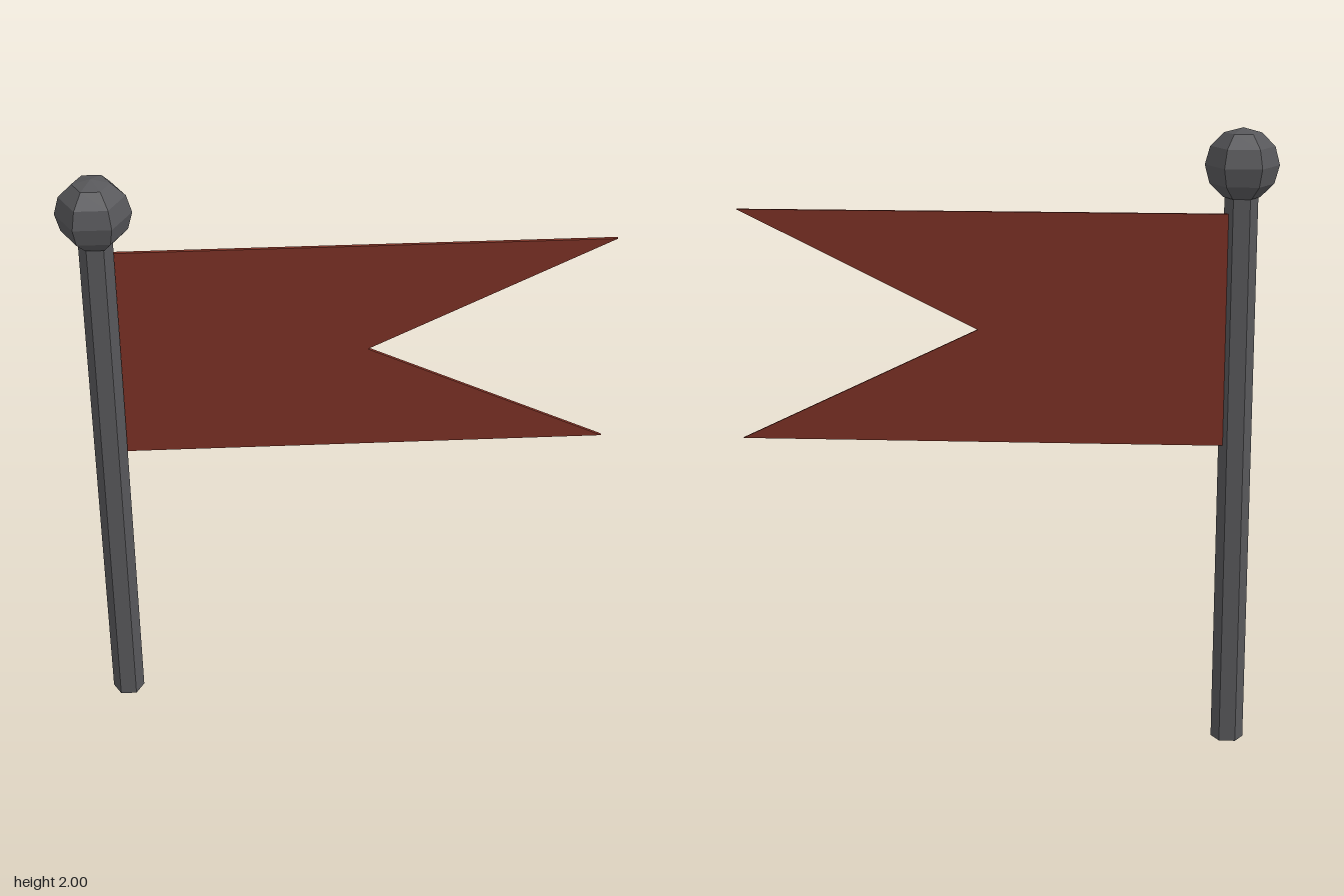
import * as THREE from 'three';

export function createModel() {
  const group = new THREE.Group();
  const metal = new THREE.MeshStandardMaterial({ name: 'darkGrey', color: 0x57575a, flatShading: true });
  const cloth = new THREE.MeshStandardMaterial({ name: 'deepRed', color: 0x7a3024, flatShading: true });
  const poleX = -0.73;

  const add = (name, geometry, material, x, y, z) => {
    const mesh = new THREE.Mesh(geometry, material);
    mesh.name = name;
    mesh.position.set(x, y, z);
    group.add(mesh);
  };

  // Six-sided pole with corners on the x axis
  const pole = new THREE.CylinderGeometry(0.052, 0.052, 1.8, 6);
  pole.rotateY(Math.PI / 6);
  add('pole', pole, metal, poleX, 0.9, 0);

  // Faceted ball on top of the pole
  add('finial', new THREE.SphereGeometry(0.115, 6, 6), metal, poleX, 1.885, 0);

  // Thin swallow-tailed flag, set slightly behind the pole's axis
  const outline = new THREE.Shape([
    [poleX, 0.995], [0.84, 0.995], [0.085, 1.36], [0.84, 1.735], [poleX, 1.735],
  ].map(([x, y]) => new THREE.Vector2(x, y)));
  const flag = new THREE.ExtrudeGeometry(outline, { depth: 0.01, bevelEnabled: false });
  add('flag', flag, cloth, 0, 0, -0.023);

  // Turn the pole so its corners point along x
  group.getObjectByName('pole').rotation.y = 0;
  return group;
}
